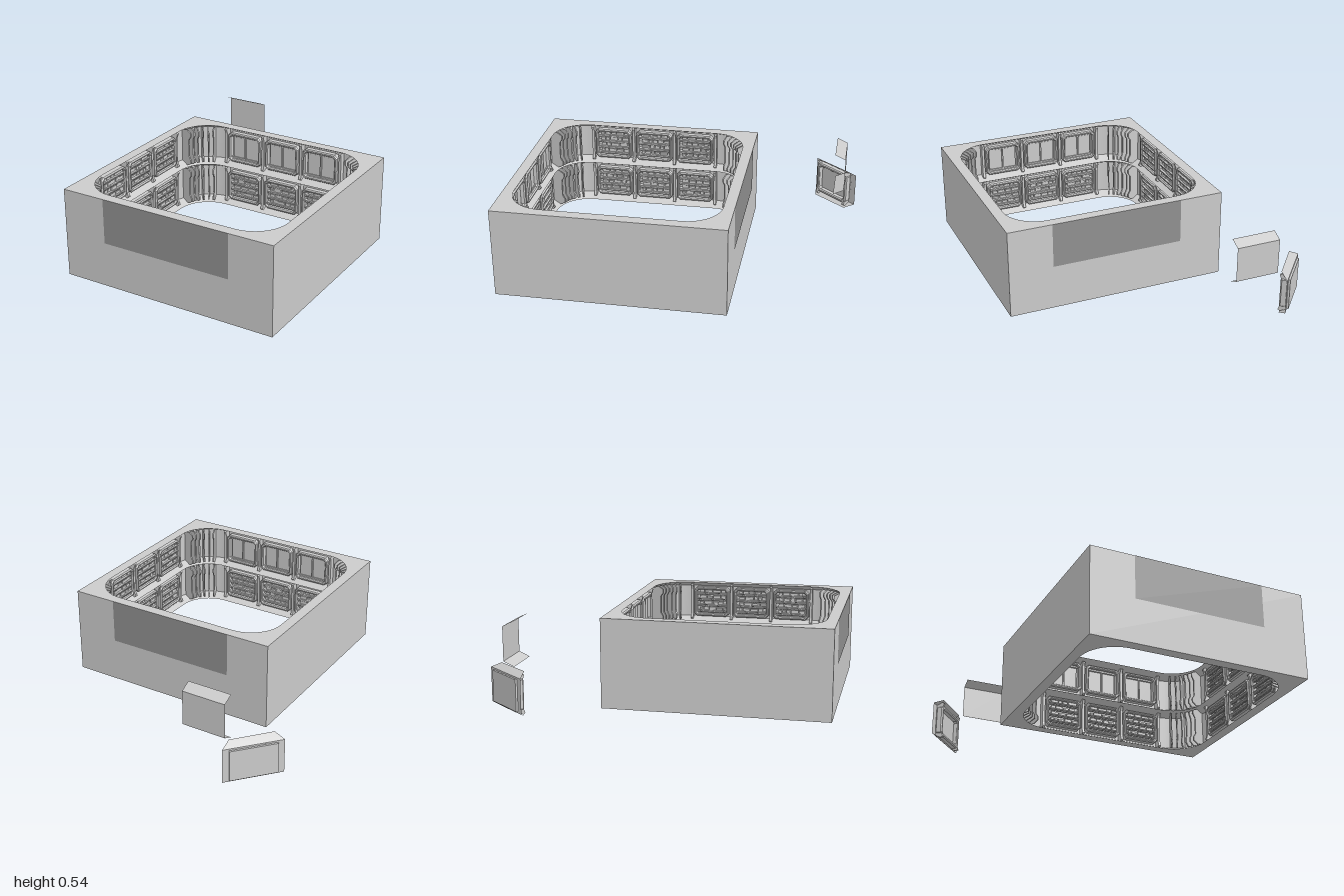
import * as THREE from 'three';
import { toCreasedNormals } from 'three/addons/utils/BufferGeometryUtils.js';

const M = 0.271;                 // size of one wall module
const HALF = 2.5 * M;            // half width of the five-module room
const DEPTH = 0.065;             // how far the ledges stand in from the outside
const CENTRE = [0.165, 0, 0.3225];
const grey = new THREE.MeshStandardMaterial({ color: 0xcccccc });
const sheet = new THREE.MeshStandardMaterial({ color: 0xcccccc, side: THREE.DoubleSide });
const dark = new THREE.MeshStandardMaterial({ color: 0x909090 });

function add(parent, name, geometry, x = 0, y = 0, z = 0, material = grey) {
  const mesh = new THREE.Mesh(geometry, material);
  mesh.name = name;
  mesh.position.set(x, y, z);
  parent.add(mesh);
  return mesh;
}
const box = (parent, name, w, h, d, x, y, z, material) =>
  add(parent, name, new THREE.BoxGeometry(w, h, d), x, y, z, material);

// Sweeps a [depth, height] profile along a path that depends on depth
function loft(profile, path) {
  const pos = [];
  for (let j = 0; j < profile.length - 1; j++) {
    const [d0, y0] = profile[j], [d1, y1] = profile[j + 1];
    const low = path(d0), high = path(d1);
    for (let i = 0; i < low.length - 1; i++) {
      const a = [low[i][0], y0, low[i][1]], b = [low[i + 1][0], y0, low[i + 1][1]];
      const c = [high[i + 1][0], y1, high[i + 1][1]], d = [high[i][0], y1, high[i][1]];
      pos.push(...a, ...b, ...c, ...a, ...c, ...d);
    }
  }
  const g = new THREE.BufferGeometry();
  g.setAttribute('position', new THREE.Float32BufferAttribute(pos, 3));
  g.computeVertexNormals();
  return toCreasedNormals(g, 0.4);
}

// Rounded square at a given depth from the outside
function roomPath(d) {
  const pts = [], r = M - d, steps = 14;
  for (let k = 0; k < 4; k++) {
    const q = Math.PI / 4 + k * Math.PI / 2;
    const cx = Math.sign(Math.cos(q)) * 1.5 * M, cz = Math.sign(Math.sin(q)) * 1.5 * M;
    for (let i = 0; i <= steps; i++) {
      const a = (k + i / steps) * Math.PI / 2;
      pts.push([cx + r * Math.cos(a), cz + r * Math.sin(a)]);
    }
  }
  pts.push(pts[0]);
  return pts;
}

// Recessed tier with sloping ledges above and below
const tier = (y, back) => [[DEPTH, y], [back, y + 0.03], [back, y + M - 0.03], [DEPTH, y + M]];

const chamfered = (T, w, h, c) => new T([
  [-w + c, -h], [w - c, -h], [w, -h + c], [w, h - c], [w - c, h], [-w + c, h], [-w, h - c], [-w, -h + c],
].map(p => new THREE.Vector2(...p)));

function frameGeometry(w, h, rim, depth) {
  const s = chamfered(THREE.Shape, w / 2, h / 2, 0.02);
  s.holes.push(chamfered(THREE.Path, w / 2 - rim, h / 2 - rim, 0.012));
  return new THREE.ExtrudeGeometry(s, {
    depth, bevelEnabled: true, bevelSize: 0.006, bevelThickness: 0.008, bevelOffset: -0.006, bevelSegments: 1,
  });
}

// Two-pane window bay, facing +z with its back on z = 0
function windowBay() {
  const g = new THREE.Group();
  g.name = 'windowBay';
  add(g, 'windowFrame', frameGeometry(0.24, 0.2, 0.02, 0.03), 0, M / 2, 0.012);
  for (const s of [-1, 1]) box(g, 'windowPane', 0.086, 0.135, 0.012, s * 0.048, M / 2 - 0.002, 0.018);
  box(g, 'mullion', 0.008, 0.16, 0.03, 0, M / 2, 0.02);
  for (const s of [-1, 1]) box(g, 'windowRail', 0.2, 0.01, 0.026, 0, M / 2 + s * 0.074, 0.018);
  return g;
}

// Equipment bay with slats, pipes and small boxes
function equipmentBay(seed) {
  const g = new THREE.Group();
  g.name = 'equipmentBay';
  const rand = () => (seed = (seed * 16807) % 2147483647) / 2147483647;
  add(g, 'bayFrame', frameGeometry(0.24, 0.2, 0.018, 0.03), 0, M / 2, 0.012);
  box(g, 'bayBack', 0.21, 0.17, 0.012, 0, M / 2, 0.012);
  for (let i = 0; i < 4; i++) {
    const y = 0.075 + i * 0.04;
    box(g, 'shelf', 0.2, 0.007, 0.032, 0, y, 0.03);
    for (let x = -0.085; x < 0.08;) {
      const w = 0.025 + rand() * 0.035;
      box(g, 'equipmentBox', w - 0.005, 0.012 + rand() * 0.014, 0.014 + rand() * 0.014, x + w / 2, y + 0.012, 0.024);
      x += w;
    }
    const pipe = add(g, 'pipe', new THREE.CylinderGeometry(0.004, 0.004, 0.2, 8), 0, y - 0.01, 0.036);
    pipe.rotation.z = Math.PI / 2;
  }
  return g;
}

// Upright between bays, following the ledge slopes
function upright(parent, x) {
  const s = new THREE.Shape([[0.002, 0.03], [0.04, 0.014], [0.052, 0.022], [0.042, 0.05],
    [0.042, M - 0.05], [0.052, M - 0.022], [0.04, M - 0.014], [0.002, M - 0.03]].map(p => new THREE.Vector2(...p)));
  const geo = new THREE.ExtrudeGeometry(s, { depth: 0.016, bevelEnabled: false });
  geo.translate(0, 0, -0.008).rotateY(-Math.PI / 2);
  return add(parent, 'upright', geo, x, 0, 0);
}

// Fan of upright ribs in one curved corner
function cornerRibs(parent, y) {
  const s = new THREE.Shape([[0.004, 0.03], [0.055, 0.012], [0.094, 0.03], [0.094, 0.055], [0.075, 0.08],
    [0.075, M - 0.08], [0.094, M - 0.055], [0.094, M - 0.03], [0.055, M - 0.012], [0.004, M - 0.03],
  ].map(p => new THREE.Vector2(...p)));
  const geo = new THREE.ExtrudeGeometry(s, { depth: 0.008, bevelEnabled: false });
  geo.translate(-M, 0, -0.004);
  for (let i = 0; i < 6; i++) {
    const rib = add(parent, 'cornerRib', geo, -1.5 * M, y, -1.5 * M);
    rib.rotation.y = -THREE.MathUtils.degToRad(21 + i * 9.6);
  }
}

function buildRoom() {
  const room = new THREE.Group();
  room.name = 'room';
  room.position.set(...CENTRE);
  const H = 2 * M;

  // Outer walls, top and bottom faces
  const outer = new THREE.CylinderGeometry(HALF * Math.SQRT2, HALF * Math.SQRT2, H, 4, 1, true).toNonIndexed();
  outer.rotateY(Math.PI / 4);
  outer.computeVertexNormals();
  add(room, 'outerWalls', outer, 0, M, 0);
  const cap = new THREE.Shape([[-1, -1], [1, -1], [1, 1], [-1, 1]].map(p => new THREE.Vector2(p[0] * HALF, p[1] * HALF)));
  cap.holes.push(new THREE.Path(roomPath(DEPTH).slice(0, -1).map(p => new THREE.Vector2(...p))));
  const face = new THREE.ShapeGeometry(cap);
  add(room, 'topFace', face.clone().rotateX(-Math.PI / 2), 0, H, 0);
  add(room, 'bottomFace', face.clone().rotateX(Math.PI / 2));

  // Inner lining, two tiers
  for (const y of [0, M]) add(room, 'innerLining', loft(tier(y, 0.004), roomPath), 0, 0, 0, sheet);

  // Four sides with three bays per tier, and the corner at the end of each
  for (let k = 0; k < 4; k++) {
    const side = new THREE.Group();
    side.name = 'wallSide';
    side.rotation.y = k * Math.PI / 2;
    room.add(side);
    for (let t = 0; t < 2; t++) {
      const row = new THREE.Group();
      row.name = 'bayRow';
      row.position.set(0, t * M, -HALF);
      side.add(row);
      for (let i = -1; i <= 1; i++) {
        const bay = t === 1 && k % 2 === 0 ? windowBay() : equipmentBay(101 + k * 31 + t * 17 + i * 5);
        bay.position.x = i * M;
        row.add(bay);
      }
      for (let i = 0; i < 4; i++) upright(row, (i - 1.5) * M);
      cornerRibs(side, t * M);
    }
    // Darker backing behind the window row
    if (k % 2 === 0) {
      const backing = add(side, 'windowBacking', new THREE.PlaneGeometry(3 * M, M), 0, 1.5 * M, -HALF - 0.001, dark);
      backing.rotation.y = Math.PI;
    }
  }
  return room;
}

// Straight path whose ends shift from the back line to the front line
const panelPath = (b0, b1, f0, f1) => d => {
  const t = d / DEPTH, mix = (p, q) => [p[0] + (q[0] - p[0]) * t, p[1] + (q[1] - p[1]) * t];
  return [mix(b0, f0), mix(b1, f1)];
};

export function createModel() {
  const model = new THREE.Group();
  model.name = 'modularRoom';
  model.add(buildRoom());

  // Loose plain wall panel
  const plain = panelPath([-0.58, -0.93], [-0.31, -0.93], [-0.58, -0.865], [-0.31, -0.865]);
  add(model, 'loosePlainPanel', loft(tier(0, 0), plain), 0, 0.24, 0, sheet);

  // Loose mitred window panel standing on the ground
  const mitred = panelPath([-0.84, -0.73], [-0.605, -0.998], [-0.775, -0.73], [-0.605, -0.93]);
  add(model, 'looseWindowPanel', loft(tier(0, 0), mitred), 0, 0, 0, sheet);
  const fittings = new THREE.Group();
  fittings.name = 'looseWindowFittings';
  fittings.position.set(-0.7225, 0, -0.864);
  fittings.rotation.y = Math.atan2(0.75, 0.66);
  add(fittings, 'looseWindowFrame', frameGeometry(0.27, 0.21, 0.022, 0.03), 0, M / 2, 0.008);
  box(fittings, 'looseWindowPane', 0.22, 0.16, 0.008, 0, M / 2, 0.012);
  box(fittings, 'looseBackPlate', 0.28, 0.19, 0.012, 0, M / 2, -0.006);
  for (const s of [-1, 1]) upright(fittings, s * 0.122);
  model.add(fittings);
  return model;
}
